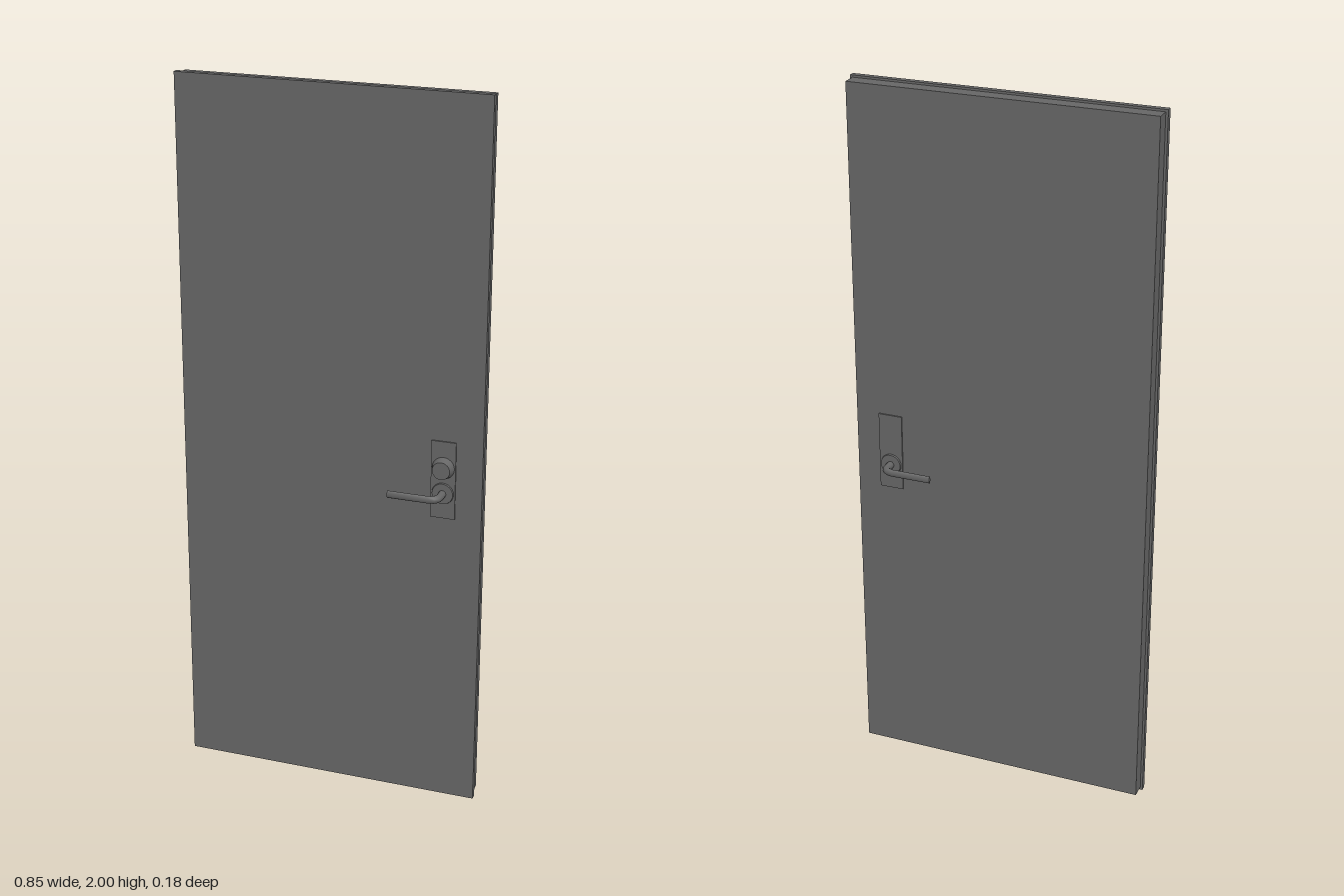
import * as THREE from 'three';

const steel = new THREE.MeshStandardMaterial({ color: 0x666666 });
steel.name = 'dark grey';

const HANDLE_X = 0.319, HANDLE_Y = 0.927, KNOB_Y = 1.0;

function add(parent, name, geometry, x, y, z) {
  const mesh = new THREE.Mesh(geometry, steel);
  mesh.name = name;
  mesh.position.set(x, y, z);
  parent.add(mesh);
  return mesh;
}

function slab(parent, name, w, y0, y1, z0, z1, x = 0) {
  return add(parent, name, new THREE.BoxGeometry(w, y1 - y0, z1 - z0), x, (y0 + y1) / 2, (z0 + z1) / 2);
}

// Bent lever: elliptical sections [x, z, half thickness, half height] swept in the xz plane
function leverGeometry() {
  const rows = [
    [0, 0.028, 0.0105, 0.0105], [0, 0.06, 0.0105, 0.0105], [-0.003, 0.071, 0.0105, 0.0105],
    [-0.011, 0.079, 0.009, 0.0105], [-0.025, 0.083, 0.0065, 0.0105],
    [-0.06, 0.083, 0.0055, 0.0105], [-0.138, 0.083, 0.004, 0.0105],
  ];
  const sides = 12, pos = [], index = [];
  rows.forEach(([x, z, a, b], i) => {
    const p = rows[Math.max(i - 1, 0)], q = rows[Math.min(i + 1, rows.length - 1)];
    const len = Math.hypot(q[0] - p[0], q[1] - p[1]);
    const nx = (q[1] - p[1]) / len, nz = -(q[0] - p[0]) / len;
    for (let j = 0; j < sides; j++) {
      const t = (j / sides) * Math.PI * 2, c = a * Math.cos(t);
      pos.push(x + nx * c, b * Math.sin(t), z + nz * c);
      if (i < rows.length - 1) {
        const k = (j + 1) % sides, r = i * sides, s = r + sides;
        index.push(r + j, r + k, s + k, r + j, s + k, s + j);
      }
    }
  });
  // Flat end at the tip
  const last = (rows.length - 1) * sides, tip = pos.length / 3;
  for (let j = 0; j < sides; j++) pos.push(...pos.slice((last + j) * 3, (last + j) * 3 + 3));
  for (let j = 1; j < sides - 1; j++) index.push(tip, tip + j, tip + j + 1);
  const g = new THREE.BufferGeometry();
  g.setAttribute('position', new THREE.Float32BufferAttribute(pos, 3));
  g.setIndex(index);
  g.computeVertexNormals();
  return g;
}

export function createModel() {
  const door = new THREE.Group();
  door.name = 'door';

  // Door leaf with a wider front face forming the rebate
  slab(door, 'frontLeaf', 0.852, 0, 2, 0.010, 0.027);
  slab(door, 'backLeaf', 0.839, 0.008, 1.994, -0.031, 0.010);

  // Escutcheon plates, rosettes and levers on both faces
  const lever = leverGeometry();
  const rosette = new THREE.CylinderGeometry(0.029, 0.031, 0.008, 24);
  rosette.rotateX(Math.PI / 2);
  slab(door, 'frontPlate', 0.068, 0.855, 1.075, 0.027, 0.031, HANDLE_X);
  slab(door, 'backPlate', 0.068, 0.855, 1.075, -0.035, -0.031, HANDLE_X);
  add(door, 'frontRosette', rosette, HANDLE_X, HANDLE_Y, 0.032);
  add(door, 'backRosette', rosette, HANDLE_X, HANDLE_Y, -0.036).rotation.x = Math.PI;
  add(door, 'frontLever', lever, HANDLE_X, HANDLE_Y, 0.001);
  add(door, 'backLever', lever, HANDLE_X, HANDLE_Y, -0.002).rotation.x = Math.PI;

  // Tapered lock knob above the front lever
  const knob = new THREE.CylinderGeometry(0.0245, 0.031, 0.024, 24);
  knob.rotateX(Math.PI / 2);
  add(door, 'lockKnob', knob, HANDLE_X, KNOB_Y, 0.042);

  return door;
}
